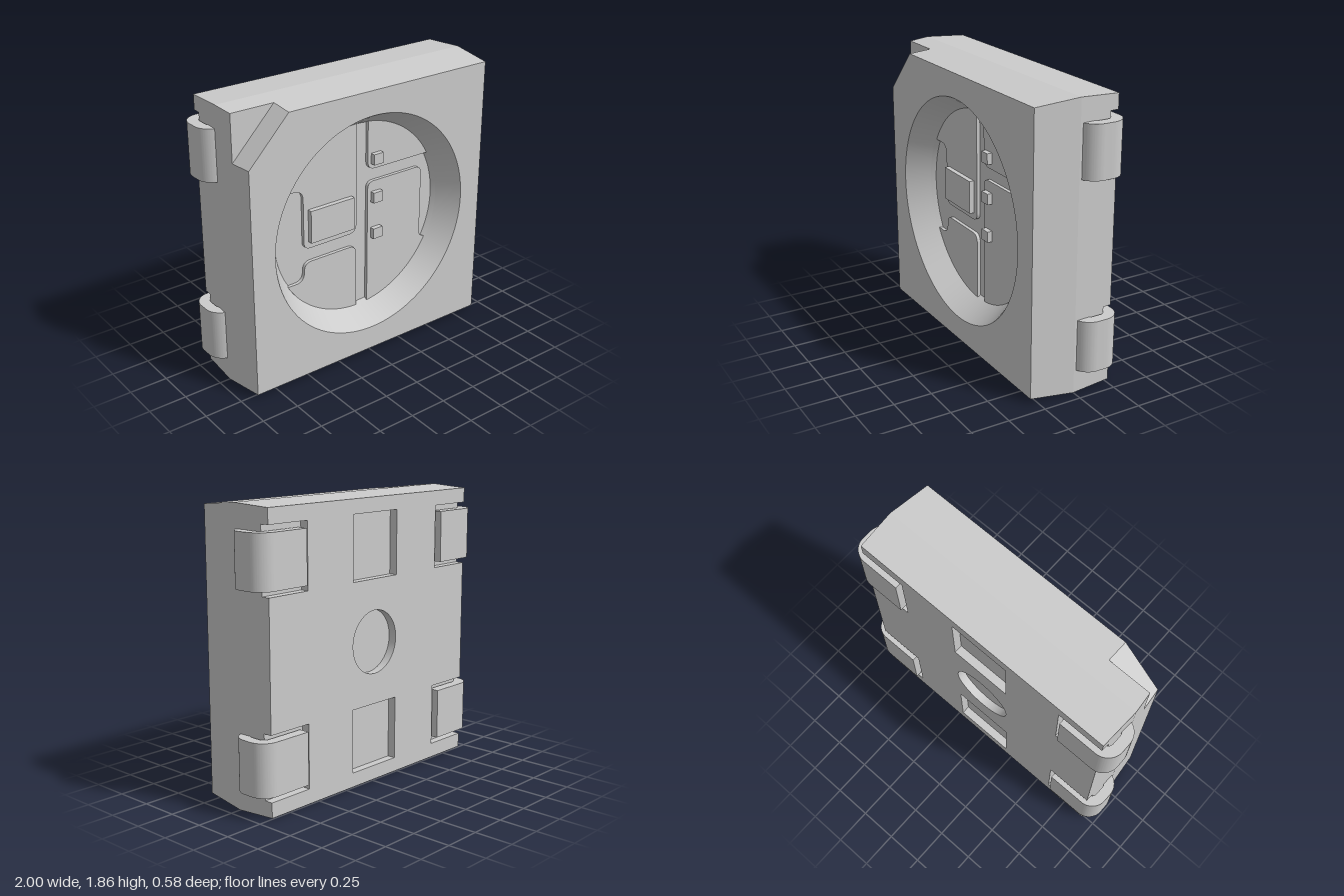
import * as THREE from 'three';
import { toCreasedNormals } from 'three/addons/utils/BufferGeometryUtils.js';

const CY = 0.9275;            // half height of the body, also its widest half width
const FLOOR = 0.11, RIM = 0.29, BACK = -0.265, SLOT = -0.21, NOTCH = 0.14;
const PAD_R = 0.642, PAD_TOP = 0.133;

const material = new THREE.MeshStandardMaterial({ color: 0xcccccc });

// Side draft of the housing: widest at z = 0, narrowing to both faces
const draft = z => (z > 0 ? 1 - 0.0296 * z / RIM : 1 - 0.0146 * z / BACK);
// Radius of the conical cup
const cupRadius = z => 0.63 + 0.11 * (z - FLOOR) / (RIM - FLOOR);

function add(parent, name, geometry, x = 0, y = 0, z = 0) {
  const mesh = new THREE.Mesh(geometry, material);
  mesh.name = name;
  mesh.position.set(x, y, z);
  parent.add(mesh);
  return mesh;
}

function extrude(shape, z0, z1, segments = 48) {
  const g = new THREE.ExtrudeGeometry(shape, { depth: z1 - z0, bevelEnabled: false, curveSegments: segments });
  return g.translate(0, 0, z0);
}

// One slab of the housing, its outline drafted and its cup wall made conical
function slab(shape, z0, z1, hasCup = false) {
  const g = extrude(shape, z0, z1);
  const p = g.attributes.position;
  for (let i = 0; i < p.count; i++) {
    let x = p.getX(i), y = p.getY(i);
    const z = p.getZ(i), r = Math.hypot(x, y);
    if (hasCup && r < 0.8) {
      x *= cupRadius(z) / r;
      y *= cupRadius(z) / r;
    } else {
      if (Math.abs(x) > 0.85) x *= draft(z);
      if (Math.abs(y) > 0.85) y *= draft(z);
    }
    p.setXY(i, x, y);
  }
  return toCreasedNormals(g, 0.5);
}

const polygon = points => new THREE.Shape(points.map(([x, y]) => new THREE.Vector2(x, y)));

function circleHole(r) {
  const path = new THREE.Path();
  path.absarc(0, 0, r, 0, Math.PI * 2, true);
  return path;
}

function rectHole(x, y0, y1) {
  return new THREE.Path([[-x, y0], [-x, y1], [x, y1], [x, y0]].map(([a, b]) => new THREE.Vector2(a, b)));
}

// Contact pad: an arc along the cup wall, then rounded corners [x, y, radius]
function padShape(from, to, corners) {
  const a0 = Math.atan2(from[1], from[0]), a1 = Math.atan2(to[1], to[0]);
  const start = new THREE.Vector2(Math.cos(a0), Math.sin(a0)).multiplyScalar(PAD_R);
  const end = new THREE.Vector2(Math.cos(a1), Math.sin(a1)).multiplyScalar(PAD_R);
  const shape = new THREE.Shape();
  shape.absarc(0, 0, PAD_R, a0, a1, false);
  const pts = [end, ...corners.map(c => new THREE.Vector2(c[0], c[1])), start];
  corners.forEach(([x, y, r], i) => {
    const c = pts[i + 1];
    const a = pts[i].clone().sub(c).setLength(r).add(c);
    const b = pts[i + 2].clone().sub(c).setLength(r).add(c);
    shape.lineTo(a.x, a.y);
    shape.quadraticCurveTo(x, y, b.x, b.y);
  });
  shape.closePath();
  return shape;
}

// Bent metal strip: leaves the side wall, turns and folds under the back
function leadGeometry(width) {
  const s = new THREE.Shape(), q = Math.PI / 2;
  s.moveTo(0.63, 0.29);
  s.lineTo(0.89, 0.29);
  s.absarc(0.89, 0.18, 0.11, q, 0, true);
  s.absarc(0.89, 0.12, 0.11, 0, -q, true);
  s.lineTo(0.86, 0.01);
  s.lineTo(0.86, 0.08);
  s.absarc(0.89, 0.12, 0.04, -q, 0, false);
  s.absarc(0.89, 0.18, 0.04, 0, q, false);
  s.lineTo(0.63, 0.22);
  s.closePath();
  const g = extrude(s, -width / 2, width / 2, 14).rotateX(-q);
  return toCreasedNormals(g, 0.5);
}

export function createModel() {
  const model = new THREE.Group();
  model.name = 'surfaceMountPackage';
  const root = new THREE.Group();
  root.name = 'package';
  root.position.y = CY;
  model.add(root);

  // Housing, from back to front
  const body = new THREE.Group();
  body.name = 'housing';
  root.add(body);
  const H = CY, S0 = 0.405, S1 = 0.8175, SX = 0.6;
  const rightSide = [[H, -H], [H, -S1], [SX, -S1], [SX, -S0], [H, -S0], [H, S0], [SX, S0], [SX, S1], [H, S1], [H, H]];
  const backShape = polygon([...rightSide, ...rightSide.map(([x, y]) => [-x, -y])]);
  backShape.holes.push(circleHole(0.205), rectHole(0.205, S0, S1 + 0.003), rectHole(0.205, -S1 - 0.003, -S0));
  add(body, 'backWithPockets', slab(backShape, BACK, SLOT));

  const square = [[-H, -H], [H, -H], [H, H], [-H, H]];
  add(body, 'core', slab(polygon(square), SLOT, 0));
  add(body, 'cupFloor', slab(polygon(square), 0, FLOOR));

  const lowerRing = polygon(square);
  lowerRing.holes.push(circleHole(0.7));
  add(body, 'cupWallLower', slab(lowerRing, FLOOR, NOTCH, true));

  // Front slab with the cut corner that marks polarity
  const upperRing = polygon([[-H, -H], [H, -H], [H, H], [-0.62, H], [-H, 0.61]]);
  upperRing.holes.push(circleHole(0.7));
  add(body, 'cupWallUpper', slab(upperRing, NOTCH, RIM, true));

  // Contact pads on the cup floor
  const pads = [
    ['upperRightPad', [-0.015, 0.642], [-0.565, 0.3075],
      [[-0.425, 0.3075, 0.07], [-0.425, -0.1025, 0.05], [-0.015, -0.1025, 0.06]]],
    ['lowerRightPad', [-0.552, -0.3275], [-0.015, -0.642],
      [[-0.015, -0.1975, 0.06], [-0.425, -0.1975, 0.06], [-0.425, -0.3275, 0.07]]],
    ['upperLeftPad', [0.564, 0.3075], [0.075, 0.638], [[0.075, 0.3075, 0.06]]],
    ['lowerLeftPad', [0.075, -0.638], [0.563, -0.3075],
      [[0.52, -0.285, 0.025], [0.52, 0.2225, 0.05], [0.075, 0.2225, 0.05]]],
  ];
  for (const [name, from, to, corners] of pads) {
    const g = extrude(padShape(from, to, corners), FLOOR - 0.01, PAD_TOP, 24);
    add(root, name, toCreasedNormals(g, 0.5));
  }

  // Chips standing on the pads
  const chipHeight = 0.035, chipZ = PAD_TOP + chipHeight / 2 - 0.002;
  add(root, 'largeChip', new THREE.BoxGeometry(0.335, 0.22, chipHeight), -0.2225, 0.055, chipZ);
  for (const y of [0.38, 0.115, -0.14]) {
    add(root, 'smallChip', new THREE.BoxGeometry(0.074, 0.072, chipHeight), 0.138, y, chipZ);
  }

  // Four leads, two on each side
  const lead = leadGeometry(0.335);
  for (const y of [-0.61, 0.61]) {
    add(root, 'leftLead', lead, 0, y);
    add(root, 'rightLead', lead, 0, y).rotation.z = Math.PI;
  }
  return model;
}
